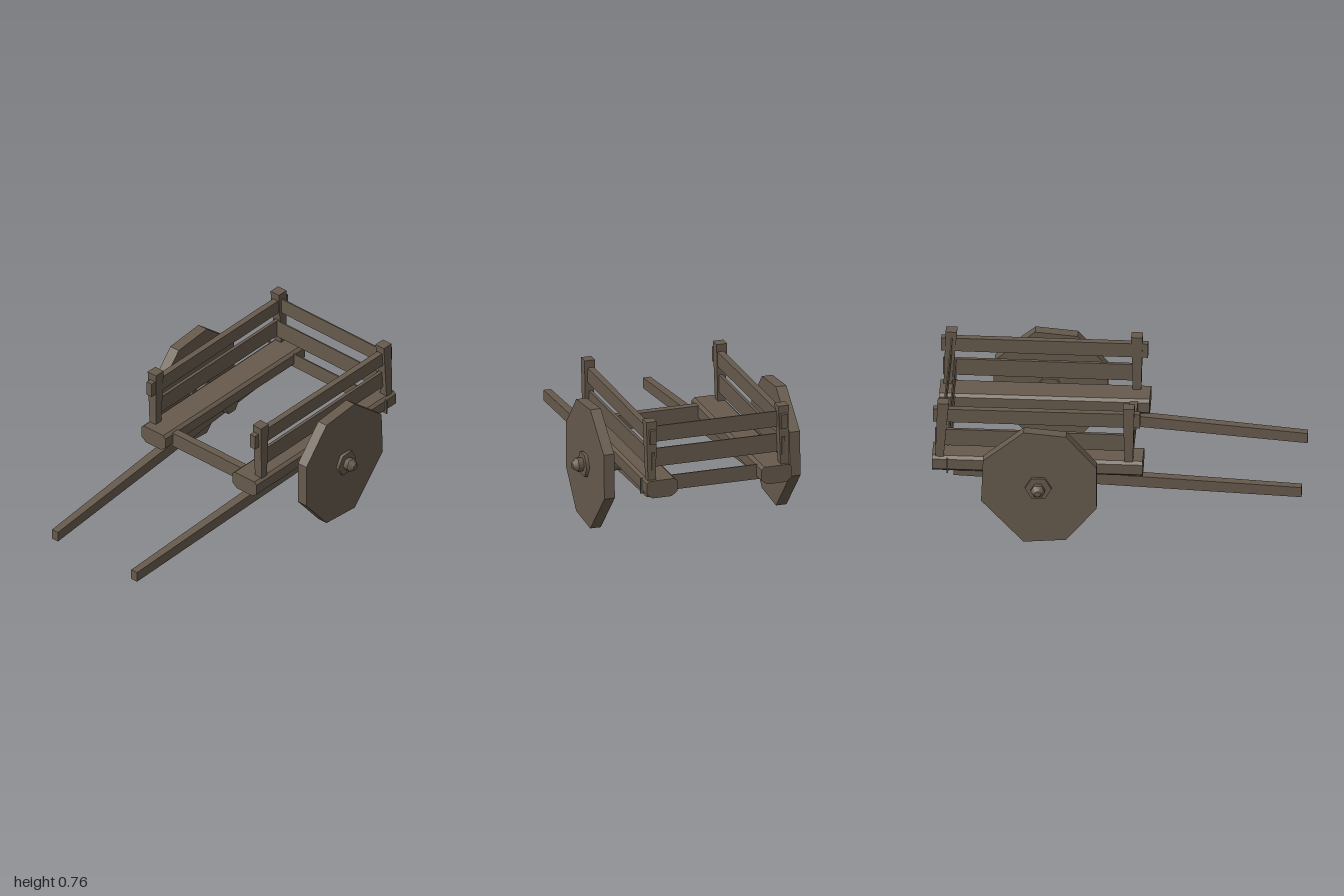
import * as THREE from 'three';

const wood = new THREE.MeshStandardMaterial({ color: 0x665a4c });
wood.name = 'weathered wood';

export function createModel() {
  const cart = new THREE.Group();
  cart.name = 'handcart';

  const add = (name, geometry, x = 0, y = 0, z = 0, parent = cart) => {
    const mesh = new THREE.Mesh(geometry, wood);
    mesh.name = name;
    mesh.position.set(x, y, z);
    parent.add(mesh);
    return mesh;
  };

  // Box spanning min to max corners
  const span = (name, a, b) => add(name,
    new THREE.BoxGeometry(b[0] - a[0], b[1] - a[1], b[2] - a[2]),
    (a[0] + b[0]) / 2, (a[1] + b[1]) / 2, (a[2] + b[2]) / 2);

  // Box whose two ends along an axis get their own centre and size
  const taper = (name, axis, from, to) => {
    const g = new THREE.BoxGeometry(1, 1, 1);
    const p = g.attributes.position;
    for (let i = 0; i < p.count; i++) {
      const v = [p.getX(i), p.getY(i), p.getZ(i)];
      const end = v[axis] > 0 ? to : from;
      const w = v.map((c, k) => (k === axis ? end.at[k] : end.at[k] + c * end.size[k]));
      p.setXYZ(i, ...w);
    }
    g.computeVertexNormals();
    return add(name, g);
  };

  // Chamfered bed beam section
  const beamShape = new THREE.Shape([
    [-0.055, -0.05], [0.055, -0.05], [0.087, -0.025], [0.087, 0.035],
    [0.07, 0.05], [-0.07, 0.05], [-0.087, 0.035], [-0.087, -0.025],
  ].map(([x, y]) => new THREE.Vector2(x, y)));

  // Slightly uneven eight-sided solid wheel, rim points as (-z, y)
  const wheelShape = new THREE.Shape([
    [-0.15, 0.32], [-0.315, 0.13], [-0.315, -0.125], [-0.15, -0.325],
    [0.08, -0.345], [0.31, -0.095], [0.30, 0.155], [0.08, 0.34],
  ].map(([x, y]) => new THREE.Vector2(x, y)));
  const wheelGeometry = new THREE.ExtrudeGeometry(wheelShape, { depth: 0.06, bevelEnabled: false });
  wheelGeometry.translate(0, 0, -0.03).rotateY(Math.PI / 2);

  for (const s of [-1, 1]) {
    const side = s > 0 ? 'left' : 'right';

    const beam = new THREE.ExtrudeGeometry(beamShape, { depth: 1.14, bevelEnabled: false });
    add(side + 'Beam', beam, s * 0.328, 0.38, -0.995);

    // Pull shaft, splaying and rising toward the back
    taper(side + 'Shaft', 2,
      { at: [s * 0.345, 0.33, -0.88], size: [0.06, 0.07, 0] },
      { at: [s * 0.285, 0.21, 1], size: [0.042, 0.06, 0] });

    // Corner posts, narrowing toward the bed
    for (const [end, z, lean] of [['Front', 0.07, 0], ['Rear', -0.935, -0.02]]) {
      taper(side + end + 'Post', 1,
        { at: [s * 0.38, 0.42, z + lean], size: [0.045, 0, 0.045] },
        { at: [s * 0.378, 0.76, z], size: [0.06, 0, 0.062] });
    }

    // Side rails
    taper(side + 'UpperRail', 2,
      { at: [s * 0.375, 0.677, -0.99], size: [0.035, 0.08, 0] },
      { at: [s * 0.372, 0.675, 0.13], size: [0.035, 0.085, 0] });
    taper(side + 'LowerRail', 2,
      { at: [s * 0.372, 0.535, -0.98], size: [0.018, 0.1, 0] },
      { at: [s * 0.372, 0.532, 0.07], size: [0.018, 0.1, 0] });

    // Wheel, hub and axle stub, all along x
    const wheel = new THREE.Group();
    wheel.name = side + 'WheelAssembly';
    wheel.position.set(0, 0.345, -0.41);
    cart.add(wheel);
    add(side + 'Wheel', wheelGeometry, s * 0.532, 0, 0, wheel);
    const turned = (name, rOut, rIn, x0, x1) => add(name,
      new THREE.CylinderGeometry(rOut, rIn, x1 - x0, 6).rotateZ(-s * Math.PI / 2),
      s * (x0 + x1) / 2, 0, 0, wheel);
    turned(side + 'AxleBlock', 0.056, 0.056, 0.25, 0.427);
    turned(side + 'Axle', 0.045, 0.045, 0.42, 0.48);
    turned(side + 'Hub', 0.072, 0.072, 0.475, 0.58);
    turned(side + 'AxleCap', 0.04, 0.036, 0.577, 0.61);
    turned(side + 'AxleTip', 0.018, 0.04, 0.61, 0.638);
  }

  // Cross members
  span('frontCrossbar', [-0.27, 0.335, 0.038], [0.27, 0.42, 0.082]);
  span('rearCrossbar', [-0.425, 0.335, -0.915], [0.425, 0.42, -0.907]);
  span('rearLowerRail', [-0.38, 0.48, -0.915], [0.38, 0.585, -0.907]);
  span('rearUpperRail', [-0.38, 0.632, -0.936], [0.38, 0.722, -0.928]);

  return cart;
}
